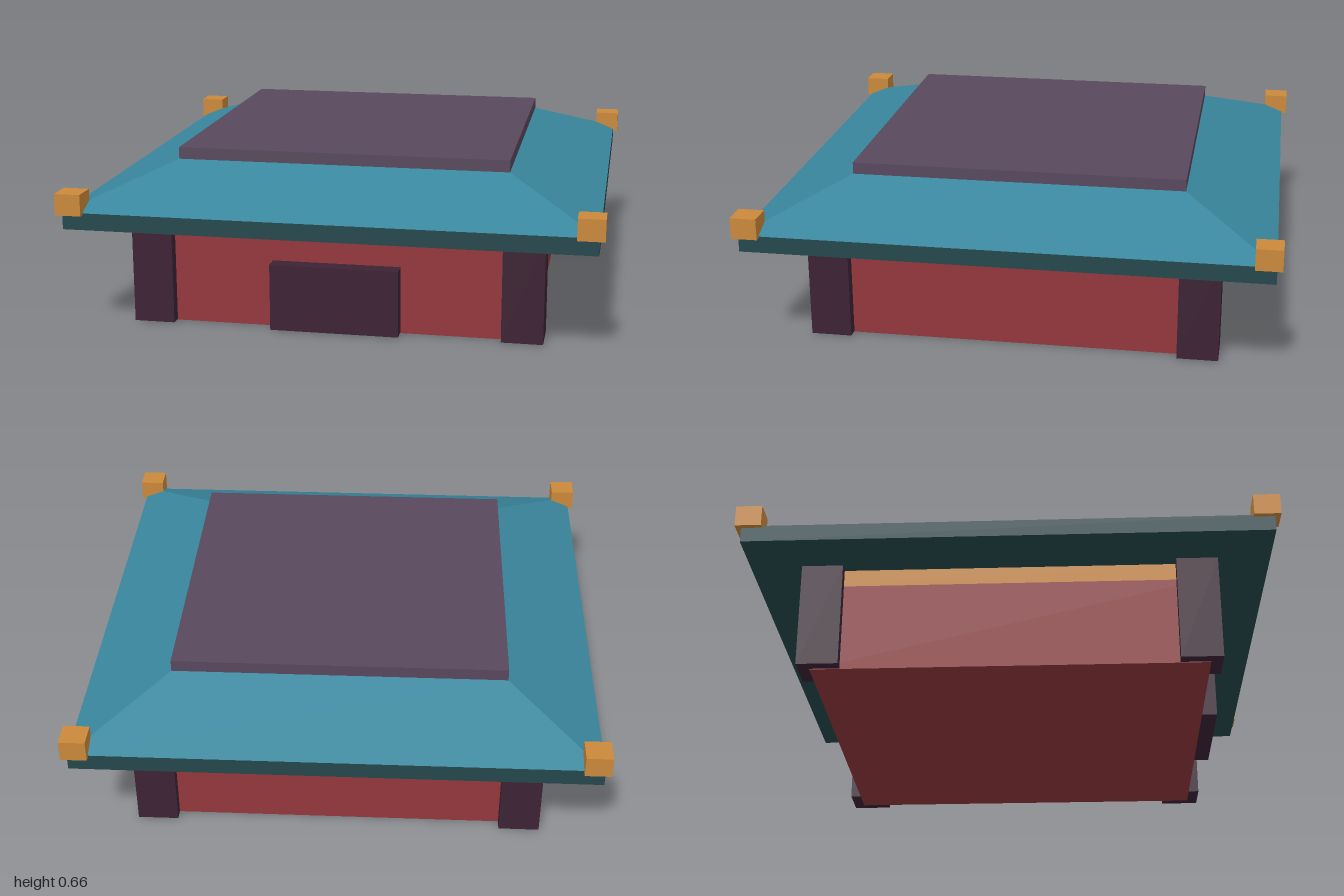
import * as THREE from 'three';

const paint = (name, color) => {
  const m = new THREE.MeshStandardMaterial({ color });
  m.name = name;
  return m;
};

export function createModel() {
  const model = new THREE.Group();
  model.name = 'pavilion';

  const red = paint('wallRed', 0x93373d);
  const gold = paint('gold', 0xcb893b);
  const plum = paint('darkPlum', 0x3d2335);
  const teal = paint('roofTeal', 0x39869d);
  const darkTeal = paint('eaveTeal', 0x25484d);
  const mauve = paint('capMauve', 0x58485d);

  const add = (name, geometry, material) => {
    const mesh = new THREE.Mesh(geometry, material);
    mesh.name = name;
    model.add(mesh);
    return mesh;
  };

  // Box given by its footprint, bottom and top heights, and centre
  const box = (name, material, w, d, y0, y1, x = 0, z = 0) =>
    add(name, new THREE.BoxGeometry(w, y1 - y0, d), material).position.set(x, (y0 + y1) / 2, z);

  // Walls with a gold band under the eaves
  box('walls', red, 1.48, 1.48, 0, 0.345);
  box('wallBand', gold, 1.48, 1.48, 0.345, 0.412);

  // Front door
  box('door', plum, 0.49, 0.07, 0.003, 0.26, 0, 0.765);

  // Eave slab, hipped roof and flat cap
  box('eave', darkTeal, 1.96, 1.96, 0.412, 0.476);
  const roof = new THREE.CylinderGeometry(0.635 * Math.SQRT2, 0.98 * Math.SQRT2, 0.139, 4, 1)
    .rotateY(Math.PI / 4)
    .toNonIndexed();
  roof.computeVertexNormals();
  add('roof', roof, teal).position.y = 0.476 + 0.139 / 2;
  box('roofCap', mauve, 1.27, 1.27, 0.615, 0.66);

  // Corner pillars and roof-corner ornaments
  for (const sx of [-1, 1]) {
    for (const sz of [-1, 1]) {
      box('pillar', plum, 0.156, 0.156, 0.003, 0.412, sx * 0.706, sz * 0.706);
      box('cornerOrnament', gold, 0.098, 0.098, 0.469, 0.55, sx * 0.951, sz * 0.951);
    }
  }

  return model;
}
